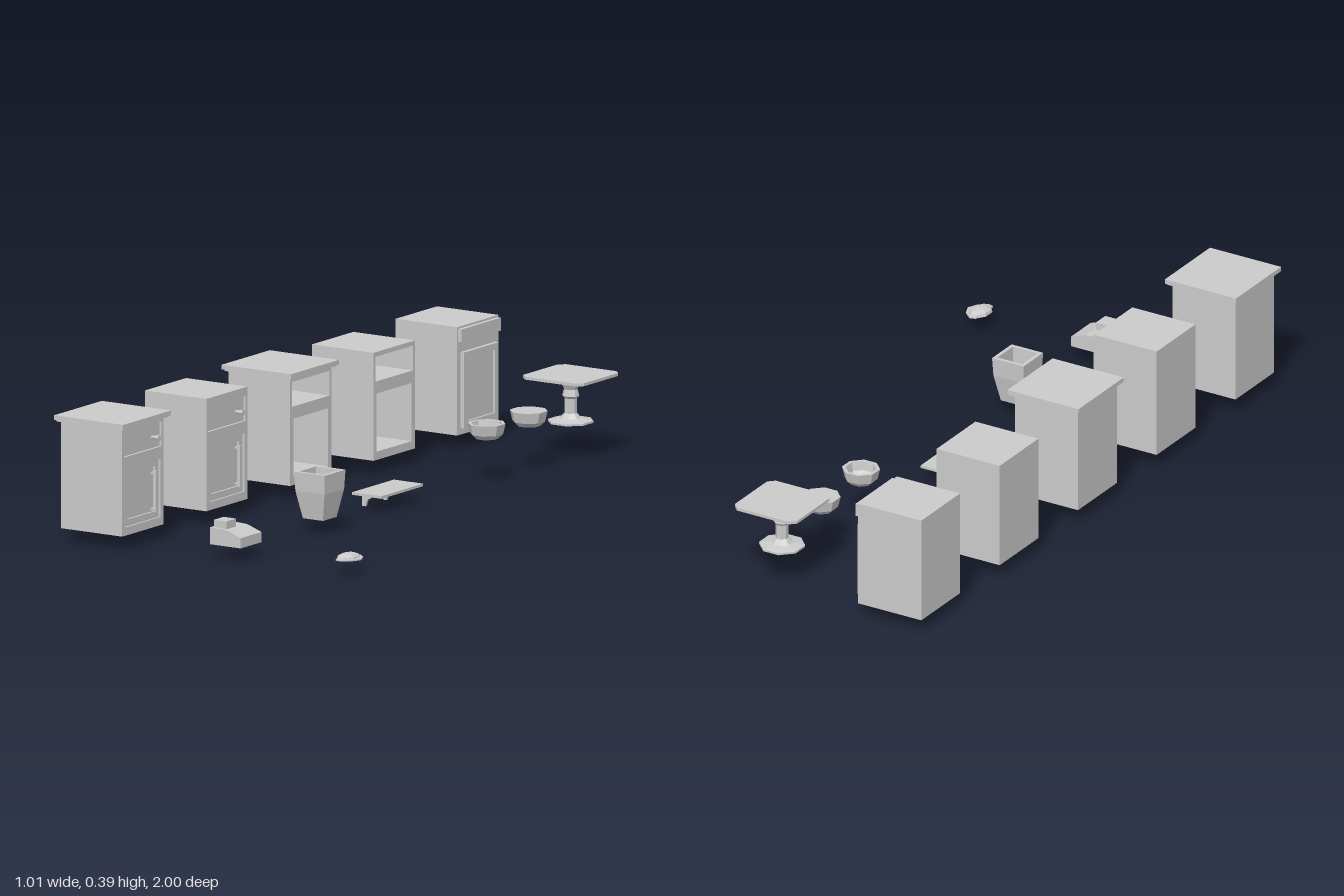
import * as THREE from 'three';

const mat = new THREE.MeshStandardMaterial({ color: 0xcccccc, flatShading: true, side: THREE.DoubleSide });

function add(parent, name, geo) {
  const m = new THREE.Mesh(geo, mat);
  m.name = name;
  parent.add(m);
  return m;
}

// Box given by its limits on each axis
function box(parent, name, x0, x1, y0, y1, z0, z1) {
  const m = add(parent, name, new THREE.BoxGeometry(x1 - x0, y1 - y0, z1 - z0));
  m.position.set((x0 + x1) / 2, (y0 + y1) / 2, (z0 + z1) / 2);
  return m;
}

// Faceted turned shape; radii are measured to the flat sides
function turned(parent, name, profile, sides, x, z) {
  const k = 1 / Math.cos(Math.PI / sides);
  const pts = profile.map(([r, y]) => new THREE.Vector2(r * k, y));
  const m = add(parent, name, new THREE.LatheGeometry(pts, sides, Math.PI / sides));
  m.position.set(x, 0, z);
  return m;
}

function shapeOf(pts) {
  return new THREE.Shape(pts.map(([x, y]) => new THREE.Vector2(x, y)));
}

// Profile in x-y, extruded along z
function slab(parent, name, pts, z0, z1) {
  const geo = new THREE.ExtrudeGeometry(shapeOf(pts), { depth: z1 - z0, bevelEnabled: false });
  geo.translate(0, 0, z0);
  return add(parent, name, geo);
}

// Outline in x-z, extruded upward from y
function plate(parent, name, pts, y, height) {
  const geo = new THREE.ExtrudeGeometry(shapeOf(pts), { depth: height, bevelEnabled: false });
  geo.rotateX(-Math.PI / 2);
  geo.translate(0, y, 0);
  return add(parent, name, geo);
}

const BACK = -0.495, FRONT = -0.275, BASE = 0.045;
const DRAWER = [0.283, 0.358], DOOR = [0.07, 0.246];

// Framed door with a sunken centre panel, facing +x
function framedDoor(parent, x0, x1, y0, y1, hw) {
  const f = 0.02;
  box(parent, 'doorPanel', x0, x1 - 0.007, y0, y1, -hw, hw);
  for (const s of [-1, 1]) {
    const a = s * hw, b = s * (hw - f);
    box(parent, 'doorStile', x0, x1, y0, y1, Math.min(a, b), Math.max(a, b));
  }
  box(parent, 'doorRail', x0, x1, y0, y0 + f, -hw + f, hw - f);
  box(parent, 'doorRail', x0, x1, y1 - f, y1, -hw + f, hw - f);
}

// Carcass with an open drawer bay above an open cupboard bay
function openCabinet(z, top) {
  const g = new THREE.Group();
  g.name = 'cabinet';
  g.position.z = z;
  box(g, 'backPanel', BACK, BACK + 0.012, BASE, top, -0.109, 0.109);
  for (const s of [-1, 1]) {
    const a = s * 0.109, b = s * 0.099, c = s * 0.092;
    box(g, 'sidePanel', BACK, FRONT, BASE, top, Math.min(a, b), Math.max(a, b));
    box(g, 'doorJamb', BACK, FRONT, BASE, DRAWER[0], Math.min(b, c), Math.max(b, c));
  }
  box(g, 'topPanel', BACK, FRONT, DRAWER[1], top, -0.109, 0.109);
  box(g, 'middleShelf', BACK, FRONT, DOOR[1], DRAWER[0], -0.099, 0.099);
  box(g, 'floorPanel', BACK, FRONT, BASE, DOOR[0], -0.099, 0.099);
  return g;
}

// Inset drawer and door with a knob and an upright handle
function closeFront(g) {
  box(g, 'drawerFront', FRONT - 0.03, FRONT - 0.008, DRAWER[0], DRAWER[1], -0.099, 0.099);
  framedDoor(g, FRONT - 0.03, FRONT - 0.006, DOOR[0], DOOR[1], 0.092);
  const knob = add(g, 'drawerKnob', new THREE.CylinderGeometry(0.009, 0.004, 0.03, 8));
  knob.rotation.z = -Math.PI / 2;
  knob.position.set(-0.269, 0.317, -0.057);
  box(g, 'doorHandle', -0.271, -0.263, 0.092, 0.217, -0.062, -0.052);
  for (const y of [0.097, 0.206]) box(g, 'handlePost', -0.283, -0.268, y, y + 0.006, -0.061, -0.053);
}

function addCountertop(g) {
  box(g, 'countertopLip', -0.502, -0.266, 0.369, 0.374, -0.121, 0.121);
  box(g, 'countertop', -0.508, -0.26, 0.374, 0.388, -0.127, 0.127);
}

export function createModel() {
  const root = new THREE.Group();
  root.name = 'kitchenSet';

  // Cabinet with raised drawer and door fronts
  const raised = new THREE.Group();
  raised.name = 'raisedFrontCabinet';
  raised.position.z = -0.891;
  box(raised, 'cabinetBody', BACK, FRONT, BASE, 0.373, -0.109, 0.109);
  box(raised, 'drawerFront', FRONT, -0.262, 0.328, 0.367, -0.104, 0.104);
  framedDoor(raised, FRONT, -0.262, 0.065, 0.295, 0.091);
  root.add(raised);

  // Open cabinets and cabinets with inset fronts
  const rows = [[-0.45, 0.372, false, false], [-0.01, 0.372, false, true],
    [0.432, 0.385, true, false], [0.875, 0.372, true, true]];
  for (const [z, top, closed, counter] of rows) {
    const cab = openCabinet(z, top);
    if (closed) closeFront(cab);
    if (counter) addCountertop(cab);
    root.add(cab);
  }

  // Pedestal table with clipped corners
  const table = new THREE.Group();
  table.name = 'pedestalTable';
  table.position.set(0.057, 0, -0.892);
  const h = 0.109, c = 0.09;
  plate(table, 'tableTop', [[-c, -h], [c, -h], [h, -c], [h, c], [c, h], [-c, h], [-h, c], [-h, -c]], 0.243, 0.009);
  turned(table, 'tablePedestal', [[0, 0.107], [0.064, 0.107], [0.064, 0.113], [0.03, 0.12], [0.018, 0.135],
    [0.018, 0.18], [0.024, 0.187], [0.019, 0.207], [0.036, 0.244]], 8, 0, 0);
  root.add(table);

  // Bowls, one empty and one full
  const outer = [[0, 0.134], [0.032, 0.134], [0.046, 0.148], [0.053, 0.18]];
  turned(root, 'emptyBowl', [...outer, [0.043, 0.18], [0.038, 0.153], [0.027, 0.143], [0, 0.143]], 8, 0.056, -0.45);
  turned(root, 'fullBowl', [...outer, [0, 0.18]], 8, 0.056, -0.672);

  // Wall shelf on two curved brackets
  const shelf = new THREE.Group();
  shelf.name = 'wallShelf';
  box(shelf, 'shelfBoard', -0.052, 0.053, 0.045, 0.053, -0.12, 0.1);
  const bracket = [[-0.05, 0.003], [-0.038, 0.003], [-0.033, 0.022], [-0.003, 0.04], [0.003, 0.046], [-0.05, 0.046]];
  for (const z of [-0.064, 0.046]) slab(shelf, 'shelfBracket', bracket, z - 0.004, z + 0.004);
  root.add(shelf);

  // Square tapered bin
  turned(root, 'squareBin', [[0, 0.046], [0.036, 0.046], [0.052, 0.13], [0.055, 0.188], [0.043, 0.188],
    [0.041, 0.13], [0.03, 0.06], [0, 0.06]], 4, 0.056, 0.43);

  // Wedge with a small raised block
  const wedge = new THREE.Group();
  wedge.name = 'wedgeUnit';
  slab(wedge, 'wedgeBody', [[0.002, 0.045], [0.111, 0.045], [0.111, 0.076], [0.06, 0.094], [0.002, 0.097]], 0.818, 0.928);
  box(wedge, 'raisedBlock', 0.008, 0.053, 0.09, 0.118, 0.866, 0.918);
  root.add(wedge);

  // Low dome with a thin pointed brim
  const cap = new THREE.Group();
  cap.name = 'domedCap';
  cap.position.set(0.46, 0, 0.872);
  const dome = turned(cap, 'dome', [[0, 0.046], [0.03, 0.046], [0.027, 0.055], [0.016, 0.062], [0, 0.065]], 8, -0.001, 0);
  dome.scale.z = 1.45;
  plate(cap, 'brim', [[-0.015, -0.047], [0.005, -0.053], [0.03, -0.032], [0.044, 0], [0.03, 0.032],
    [0.005, 0.053], [-0.015, 0.047]], 0.046, 0.004);
  root.add(cap);

  return root;
}
